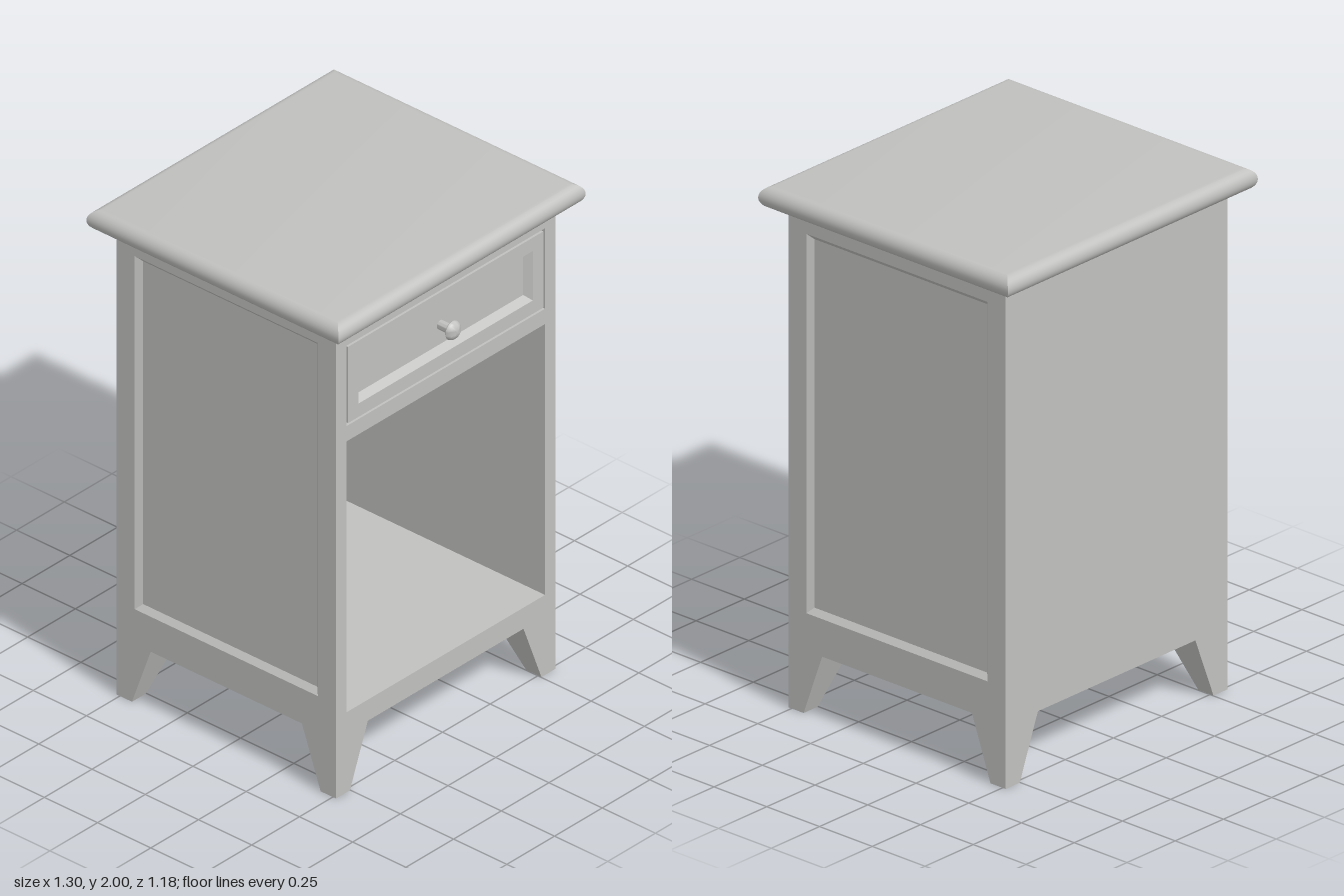
import * as THREE from 'three';
import { toCreasedNormals } from 'three/addons/utils/BufferGeometryUtils.js';

// Skin through a sequence of rectangles [x0, x1, y0, y1, z], closed by a cap facing +z
function stepped(rects) {
  const pos = [];
  const loops = rects.map(([x0, x1, y0, y1, z]) => [[x0, y0, z], [x1, y0, z], [x1, y1, z], [x0, y1, z]]);
  const quad = (a, b, c, d) => pos.push(...a, ...b, ...c, ...a, ...c, ...d);
  for (let k = 0; k + 1 < loops.length; k++) {
    const A = loops[k], B = loops[k + 1];
    for (let i = 0; i < 4; i++) {
      const j = (i + 1) % 4;
      quad(A[i], A[j], B[j], B[i]);
    }
  }
  quad(...loops[loops.length - 1]);
  const g = new THREE.BufferGeometry();
  g.setAttribute('position', new THREE.Float32BufferAttribute(pos, 3));
  return toCreasedNormals(g, 0.3);
}

const centred = (hw, hh, z) => [-hw, hw, -hh, hh, z];
const inset = ([x0, x1, y0, y1], d, z) => [x0 + d, x1 - d, y0 + d, y1 - d, z];

export function createModel() {
  const group = new THREE.Group();
  const paint = new THREE.MeshStandardMaterial({ color: 0xc0c0be });
  paint.name = 'greyPaint';
  const add = (name, geometry) => {
    const mesh = new THREE.Mesh(geometry, paint);
    mesh.name = name;
    group.add(mesh);
    return mesh;
  };

  const W = 0.575, D = 0.515, Y0 = 0.243, Y1 = 1.915;
  const drawer = [-0.521, 0.521, 1.51, 1.842];
  const opening = [-0.521, 0.521, 0.33, 1.447];

  // Front frame with holes for the drawer and the open compartment
  const rectPath = (P, [x0, x1, y0, y1]) =>
    new P([[x0, y0], [x1, y0], [x1, y1], [x0, y1]].map(p => new THREE.Vector2(...p)));
  const frame = rectPath(THREE.Shape, [-W, W, Y0, Y1]);
  frame.holes.push(rectPath(THREE.Path, drawer), rectPath(THREE.Path, opening));
  add('frontFrame', new THREE.ShapeGeometry(frame)).position.z = D;

  // Drawer front: narrow gap around it, recessed panel with bevelled border
  add('drawerFront', stepped([
    inset(drawer, 0, D), inset(drawer, 0, D - 0.02),
    inset(drawer, 0.009, D - 0.02), inset(drawer, 0.009, D),
    inset(drawer, 0.064, D), inset(drawer, 0.087, D - 0.025),
  ]));

  // Open compartment: inner walls, floor, ceiling and back
  add('compartment', stepped([inset(opening, 0, D), inset(opening, 0, -0.445)]));

  // Side panels with bevelled recess
  for (const s of [1, -1]) {
    const recess = [-0.43, 0.43, 0.387, 1.843];
    const side = add(s > 0 ? 'leftSide' : 'rightSide', stepped([
      [-D, D, Y0, Y1, W], inset(recess, 0, W), inset(recess, 0.021, W - 0.02),
    ]));
    side.rotation.y = s * Math.PI / 2;
  }

  // Back and underside
  add('back', stepped([[-W, W, Y0, Y1, D]])).rotation.y = Math.PI;
  const underside = add('underside', stepped([centred(W, D, 0)]));
  underside.rotation.x = Math.PI / 2;
  underside.position.y = Y0;

  // Tapered corner legs, flush with the outer faces
  for (const sx of [1, -1]) for (const sz of [1, -1]) {
    const span = (s, a, b) => s > 0 ? [a, b] : [-b, -a];
    const foot = [...span(sx, 0.502, W), ...span(sz, 0.443, D), 0];
    const cx = (foot[0] + foot[1]) / 2, cz = (foot[2] + foot[3]) / 2;
    const leg = add('leg', stepped([
      [cx, cx, cz, cz, 0], foot, [...span(sx, 0.408, W), ...span(sz, 0.355, D), Y0],
    ]));
    leg.rotation.x = -Math.PI / 2;
  }

  // Table top with half-round edges and mitred corners
  const r = 0.0425, n = 14, rings = [centred(0, 0, Y1)];
  for (let i = 0; i <= n; i++) {
    const a = -Math.PI / 2 + Math.PI * i / n, out = r * Math.cos(a) - r;
    rings.push(centred(0.648 + out, 0.592 + out, Y1 + r + r * Math.sin(a)));
  }
  add('tableTop', stepped(rings)).rotation.x = -Math.PI / 2;

  // Mushroom knob on the drawer
  const profile = [[0.018, 0], [0.018, 0.052], [0.034, 0.053], [0.037, 0.057], [0.034, 0.066],
    [0.026, 0.074], [0.014, 0.08], [0, 0.082]].map(p => new THREE.Vector2(...p));
  const lathe = new THREE.LatheGeometry(profile, 32);
  const knob = add('knob', toCreasedNormals(lathe, 0.7));
  knob.rotation.x = Math.PI / 2;
  knob.position.set(0, 1.677, D - 0.025);

  return group;
}
